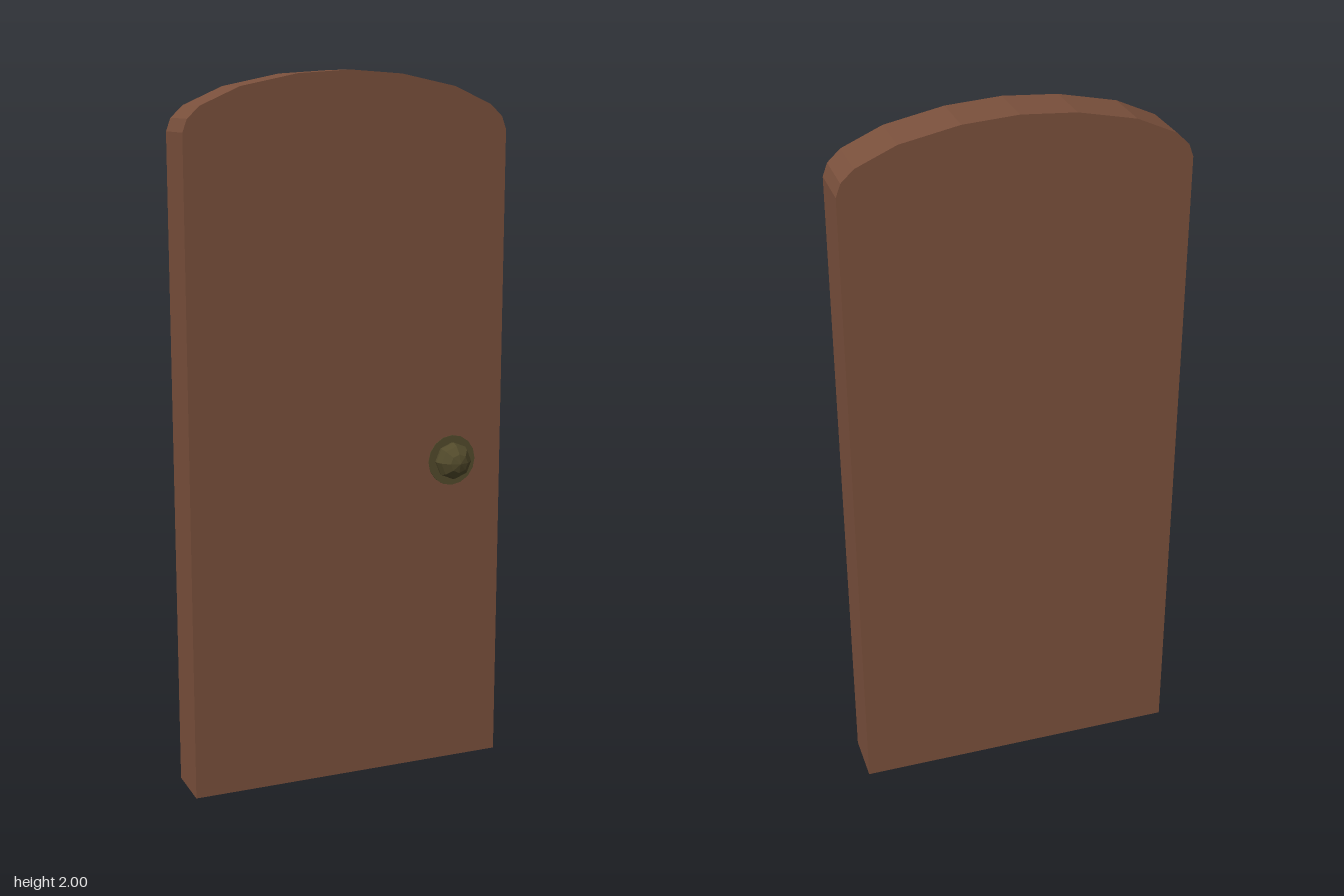
import * as THREE from 'three';

export function createModel() {
  const model = new THREE.Group();
  model.name = 'archedDoor';
  const wood = new THREE.MeshStandardMaterial({ color: 0x7a503c });
  wood.name = 'brown wood';
  const brass = new THREE.MeshStandardMaterial({ color: 0x524a2b });
  brass.name = 'aged brass';

  // Door slab: half of the arched outline, mirrored, then extruded
  const half = [[0.468, 0], [0.468, 1.84], [0.455, 1.875], [0.42, 1.908], [0.31, 1.957], [0.15, 1.99]];
  const outline = [
    ...half.map(([x, y]) => new THREE.Vector2(x, y)),
    new THREE.Vector2(0, 2),
    ...half.map(([x, y]) => new THREE.Vector2(-x, y)).reverse(),
  ];
  const slabGeometry = new THREE.ExtrudeGeometry(new THREE.Shape(outline), { depth: 0.15, bevelEnabled: false });
  slabGeometry.translate(0, 0, -0.105);
  const slab = new THREE.Mesh(slabGeometry, wood);
  slab.name = 'doorSlab';
  model.add(slab);

  // Doorknob with a thin round plate against the door
  const knob = new THREE.Group();
  knob.name = 'doorknob';
  knob.position.set(0.314, 0.908, 0.045);

  const plate = new THREE.Mesh(new THREE.CylinderGeometry(0.073, 0.073, 0.004, 16).rotateX(Math.PI / 2), brass);
  plate.name = 'knobPlate';

  // Faceted ball, half sunk in the door, pole facing forward
  const profile = [[0.052, 0], [0.054, 0.012], [0.047, 0.032], [0.027, 0.052], [0, 0.06]]
    .map(([r, h]) => new THREE.Vector2(r, h));
  const ballGeometry = new THREE.LatheGeometry(profile, 8).rotateX(Math.PI / 2).toNonIndexed();
  ballGeometry.computeVertexNormals();
  const ball = new THREE.Mesh(ballGeometry, brass);
  ball.name = 'knobBall';

  knob.add(plate, ball);
  model.add(knob);
  return model;
}
